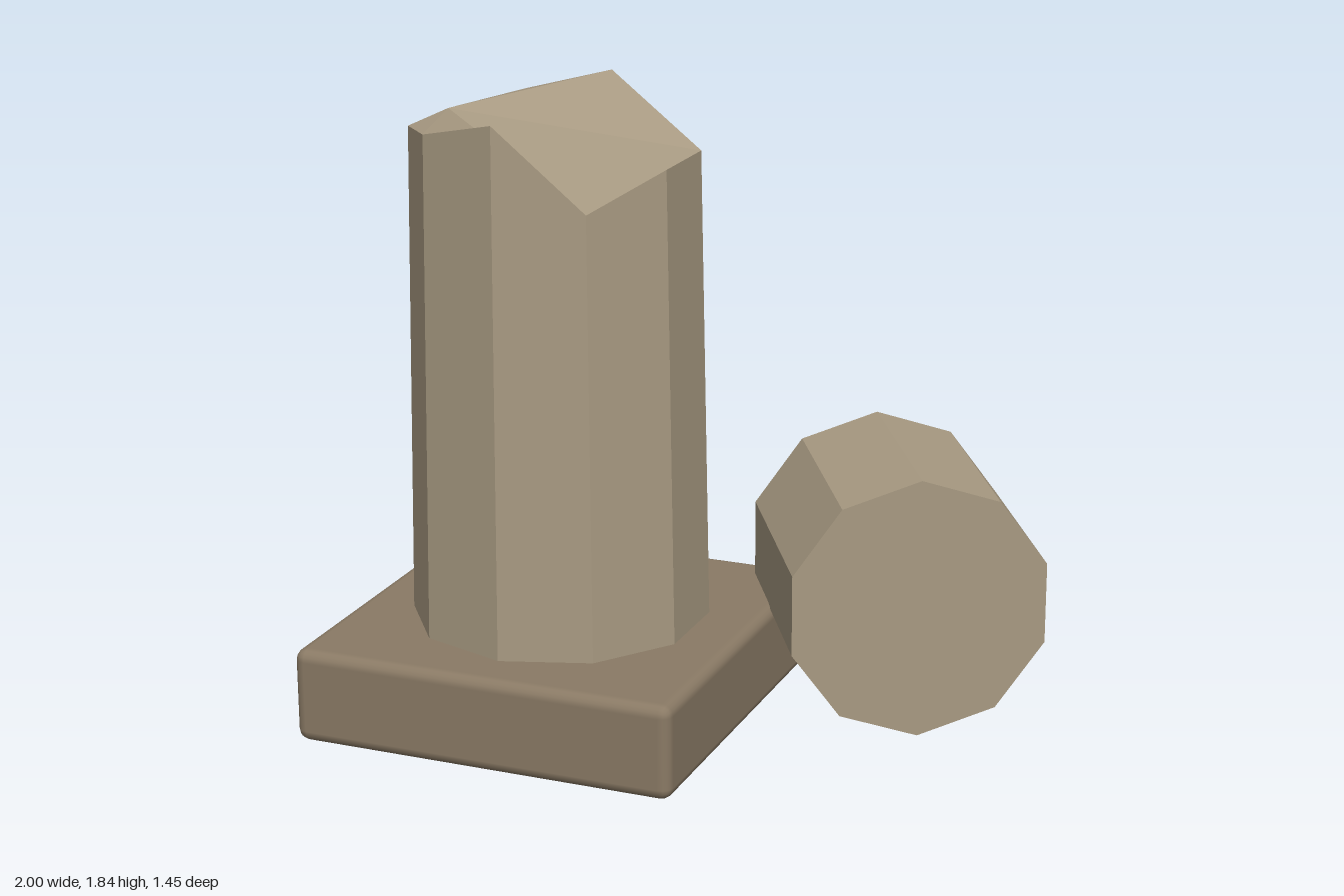
import * as THREE from 'three';
import { RoundedBoxGeometry } from 'three/addons/geometries/RoundedBoxGeometry.js';

const SIDES = 10;

// Ten-sided shaft whose rim height varies corner by corner
function brokenShaft(bottomY, rimHeights) {
  const positions = [], index = [];
  const radiusAt = y => 0.443 - 0.0165 * (y - bottomY);
  const ring = heightOf => {
    for (let k = 0; k < SIDES; k++) {
      const a = (k / SIDES) * Math.PI * 2, y = heightOf(k), r = radiusAt(y);
      positions.push(Math.sin(a) * r, y, Math.cos(a) * r);
    }
  };
  ring(() => bottomY);
  ring(k => rimHeights[k]);
  for (let k = 0; k < SIDES; k++) {
    const n = (k + 1) % SIDES;
    index.push(k, n, SIDES + n, k, SIDES + n, SIDES + k);
  }
  // Bottom cap
  for (let k = 1; k < SIDES - 1; k++) index.push(0, k + 1, k);
  // Fractured top: an ear at every other corner, then the inner pentagon
  const top = (a, b, c) => index.push(SIDES + a, SIDES + b, SIDES + c);
  for (let k = 1; k < SIDES; k += 2) top(k, k + 1 === SIDES ? 0 : k + 1, (k + 2) % SIDES);
  top(3, 5, 7);
  top(1, 3, 7);
  top(7, 9, 1);

  const geometry = new THREE.BufferGeometry();
  geometry.setAttribute('position', new THREE.Float32BufferAttribute(positions, 3));
  geometry.setIndex(index);
  const flat = geometry.toNonIndexed();
  flat.computeVertexNormals();
  return flat;
}

export function createModel() {
  const group = new THREE.Group();
  const stone = new THREE.MeshStandardMaterial({ color: 0xa89a82, flatShading: true });
  const plinthStone = new THREE.MeshStandardMaterial({ color: 0x8a7a65 });

  const add = (name, geometry, material, x, y, z) => {
    const mesh = new THREE.Mesh(geometry, material);
    mesh.name = name;
    mesh.position.set(x, y, z);
    group.add(mesh);
    return mesh;
  };

  // Square plinth with softened edges
  add('plinth', new RoundedBoxGeometry(1.175, 0.285, 1.175, 2, 0.035), plinthStone, -0.412, 0.1425, 0.135);

  // Standing column stump
  const rim = [1.84, 1.595, 1.69, 1.69, 1.595, 1.84, 1.78, 1.75, 1.75, 1.78];
  add('brokenColumn', brokenShaft(0.28, rim), stone, -0.412, 0, 0.135);

  // Fallen drum lying on its side
  const drum = new THREE.CylinderGeometry(0.393, 0.393, 0.656, SIDES);
  drum.rotateX(Math.PI / 2).rotateY(Math.PI / 6);
  add('fallenDrum', drum, stone, 0.508, 0.397, -0.26);

  return group;
}
